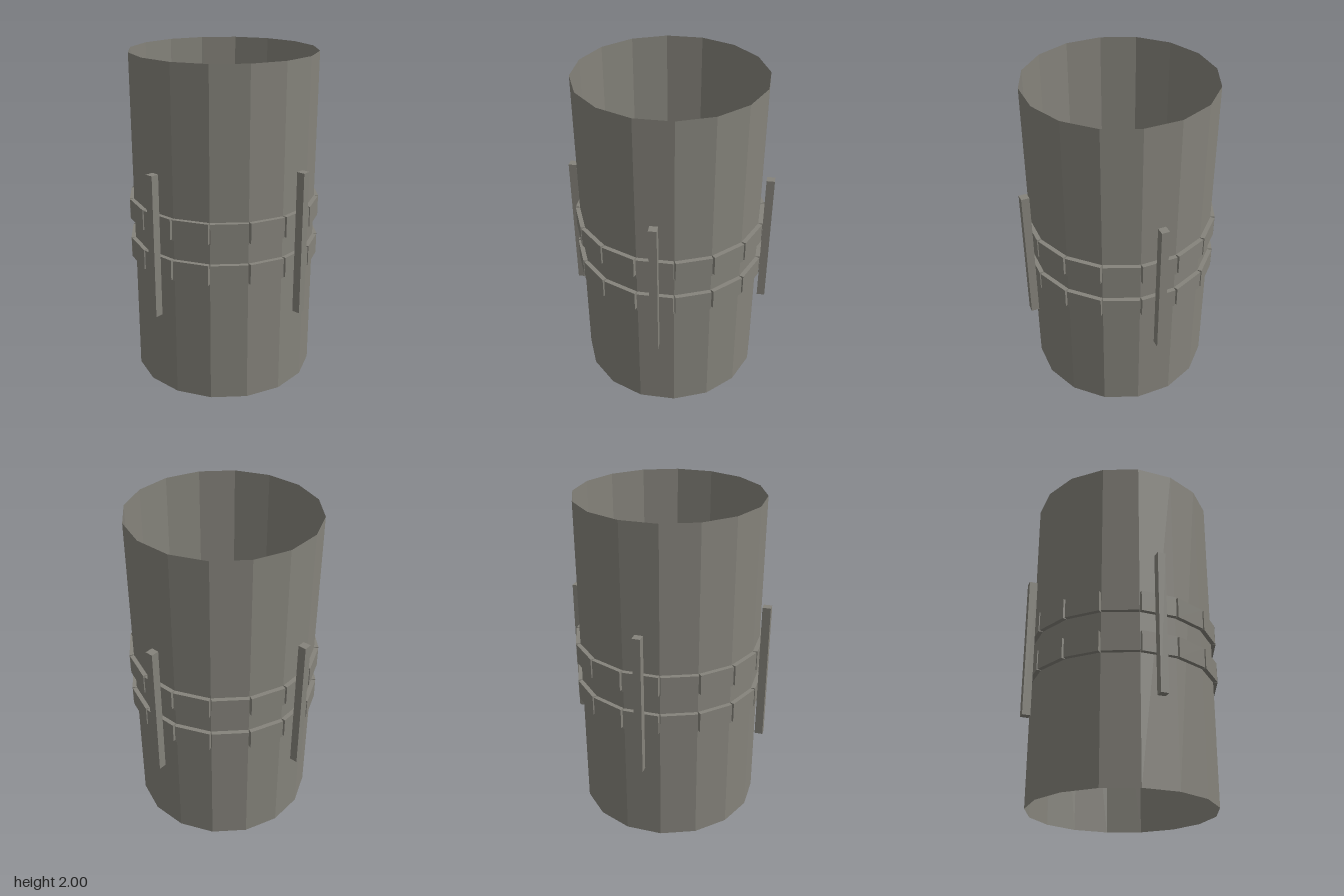
import * as THREE from 'three';

const SIDES = 16;
const STEP = (Math.PI * 2) / SIDES;

export function createModel() {
  const model = new THREE.Group();
  model.name = 'bandedPipe';
  const metal = new THREE.MeshStandardMaterial({ color: 0x85837b });
  metal.name = 'warm grey metal';
  metal.flatShading = true;
  const sheet = metal.clone();
  sheet.side = THREE.DoubleSide;

  // Box standing at a given distance from the axis, turned to face outwards
  function radialBox(name, width, bottom, top, inner, outer, angle) {
    const geometry = new THREE.BoxGeometry(width, top - bottom, outer - inner);
    geometry.translate(0, (top + bottom) / 2, (inner + outer) / 2);
    const mesh = new THREE.Mesh(geometry, metal);
    mesh.name = name;
    mesh.rotation.y = angle;
    return mesh;
  }

  // Open pipe wall with a flat side facing front
  const wall = new THREE.CylinderGeometry(0.557, 0.557, 2, SIDES, 1, true);
  wall.rotateY(STEP / 2);
  wall.translate(0, 1, 0);
  const pipe = new THREE.Mesh(wall, sheet);
  pipe.name = 'pipeWall';
  model.add(pipe);

  // Two clamping bands, each a ring of straight plates
  for (const [name, bottom, top] of [['lowerBand', 0.755, 0.878], ['upperBand', 1.004, 1.128]]) {
    const band = new THREE.Group();
    band.name = name;
    for (let i = 0; i < SIDES; i++) {
      band.add(radialBox('bandPlate', 0.214, bottom, top, 0.537, 0.573, i * STEP));
    }
    model.add(band);
  }

  // Four upright bars fixed to the bands
  ['frontBar', 'leftBar', 'backBar', 'rightBar'].forEach((name, i) => {
    model.add(radialBox(name, 0.048, 0.505, 1.375, 0.573, 0.622, (i * Math.PI) / 2));
  });

  return model;
}
